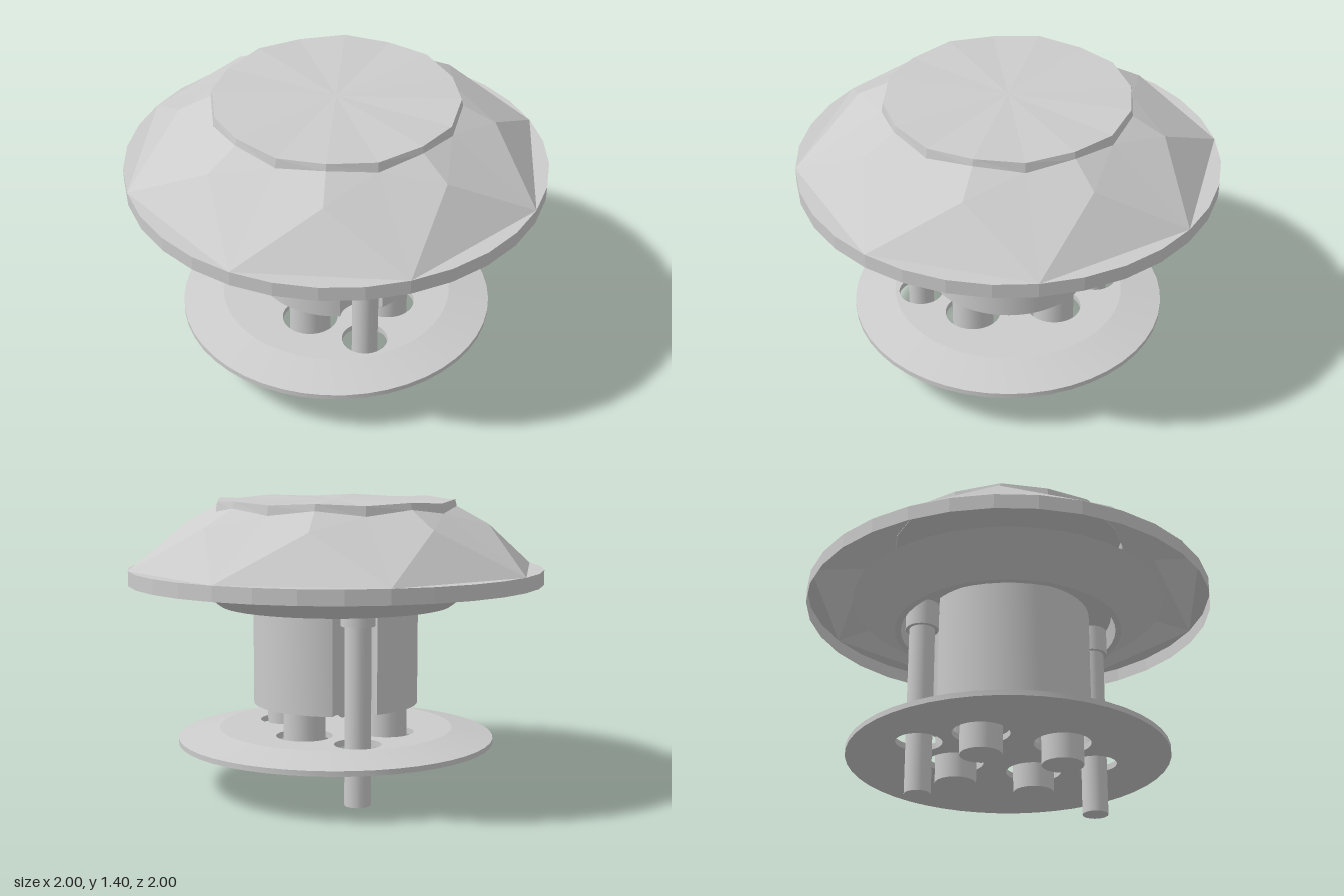
import * as THREE from 'three';
import { toCreasedNormals } from 'three/addons/utils/BufferGeometryUtils.js';

const smooth = new THREE.MeshStandardMaterial({ color: 0xcccccc, side: THREE.DoubleSide });
const faceted = new THREE.MeshStandardMaterial({ color: 0xcccccc, side: THREE.DoubleSide, flatShading: true });

const PEGS = [[0.2, 0.2], [-0.2, 0.2], [0.2, -0.2], [-0.2, -0.2]];
const POSTS = [[0, 0.44], [0, -0.44]];

// point on a horizontal ring, angle in degrees
const ring = (deg, r, y) => {
  const a = THREE.MathUtils.degToRad(deg);
  return [r * Math.cos(a), y, r * Math.sin(a)];
};

function fromTriangles(pos) {
  const g = new THREE.BufferGeometry();
  g.setAttribute('position', new THREE.Float32BufferAttribute(pos.flat(), 3));
  g.computeVertexNormals();
  return g;
}

const lathe = (points) => toCreasedNormals(
  new THREE.LatheGeometry(points.map(([x, y]) => new THREE.Vector2(x, y)), 48), 0.4);

// extrude an outline upwards from y0 to y1
function prism(shape, y0, y1) {
  const g = new THREE.ExtrudeGeometry(shape, { depth: y1 - y0, bevelEnabled: false, curveSegments: 24 });
  g.rotateX(-Math.PI / 2).translate(0, y0, 0);
  return toCreasedNormals(g, 0.5);
}

// faceted crown: eight kites, rim triangles, star facets and a thin ledge
function crownGeometry() {
  const v = [];
  for (let k = 0; k < 8; k++) {
    const a = k * 45;
    const rim = ring(a, 1, 1.07), nextRim = ring(a + 45, 1, 1.07);
    const mid = ring(a + 22.5, 0.735, 1.285), prevMid = ring(a - 22.5, 0.735, 1.285);
    const top = ring(a, 0.58, 1.345), nextTop = ring(a + 45, 0.58, 1.345);
    const halfTop = ring(a + 22.5, 0.58, 1.37);
    v.push(nextRim, rim, mid, rim, prevMid, top, rim, top, mid);
    v.push(mid, top, halfTop, mid, halfTop, nextTop);
    for (let j = 1; j < 4; j++) {
      v.push(rim, ring(a + (j + 1) * 11.25, 1, 1.07), ring(a + j * 11.25, 1, 1.07));
    }
  }
  return fromTriangles(v);
}

// gently wavy flat cap on top of the crown
function tableGeometry() {
  const v = [];
  const low = (i) => ring(i * 22.5, 0.583, i % 2 ? 1.365 : 1.34);
  const high = (i) => ring(i * 22.5, 0.575, i % 2 ? 1.4 : 1.39);
  for (let i = 0; i < 16; i++) {
    v.push(low(i), high(i), high(i + 1), low(i), high(i + 1), low(i + 1));
    v.push([0, 1.395, 0], high(i + 1), high(i));
  }
  return fromTriangles(v);
}

// round body with a notch beside each post
function bodyShape() {
  const r = 0.4, n = 0.12, c = 0.44;
  const y = (r * r + c * c - n * n) / (2 * c);
  const x = Math.sqrt(r * r - y * y);
  const a = Math.atan2(y, x), b = Math.atan2(c - y, x);
  const s = new THREE.Shape();
  s.absarc(0, 0, r, -a, a, false);
  s.absarc(0, c, n, -b, b - Math.PI, true);
  s.absarc(0, 0, r, Math.PI - a, Math.PI + a, false);
  s.absarc(0, -c, n, Math.PI - b, b, true);
  return s;
}

// disc pierced for the pegs and posts
function plateShape() {
  const s = new THREE.Shape();
  s.absarc(0, 0, 0.57, 0, Math.PI * 2, false);
  const hole = (r) => ([x, z]) => {
    const h = new THREE.Path();
    h.absarc(x, -z, r, 0, Math.PI * 2, true);
    s.holes.push(h);
  };
  PEGS.forEach(hole(0.135));
  POSTS.forEach(hole(0.11));
  return s;
}

export function createModel() {
  const model = new THREE.Group();
  model.name = 'controlKnob';
  const add = (name, geometry, material = smooth) => {
    const mesh = new THREE.Mesh(geometry, material);
    mesh.name = name;
    model.add(mesh);
  };
  const rod = (name, r, y0, y1, [x, z]) => add(name,
    new THREE.CylinderGeometry(r, r, y1 - y0, 20).translate(x, (y0 + y1) / 2, z));

  // cut-glass style head
  add('crown', crownGeometry(), faceted);
  add('crownTable', tableGeometry(), faceted);
  add('rimBand', new THREE.CylinderGeometry(1, 1, 0.07, 32, 1, true).translate(0, 1.035, 0), faceted);

  // collar with a recessed underside
  add('collar', lathe([[0, 0.97], [0.51, 0.97], [0.53, 0.89], [0.56, 0.89], [0.77, 1.045], [0, 1.05]]));

  // notched body
  add('body', prism(bodyShape(), 0.41, 0.98));

  // dished base plate
  add('basePlate', prism(plateShape(), 0.258, 0.288));
  add('basePlateRim', lathe([[0.57, 0.258], [0.75, 0.22], [0.77, 0.22], [0.77, 0.245], [0.57, 0.288]]));

  // short pegs and long headed posts
  PEGS.forEach((p) => rod('peg', 0.1, 0.15, 0.42, p));
  POSTS.forEach((p) => {
    rod('post', 0.062, 0, 0.85, p);
    rod('postHead', 0.08, 0.84, 0.98, p);
  });
  return model;
}
